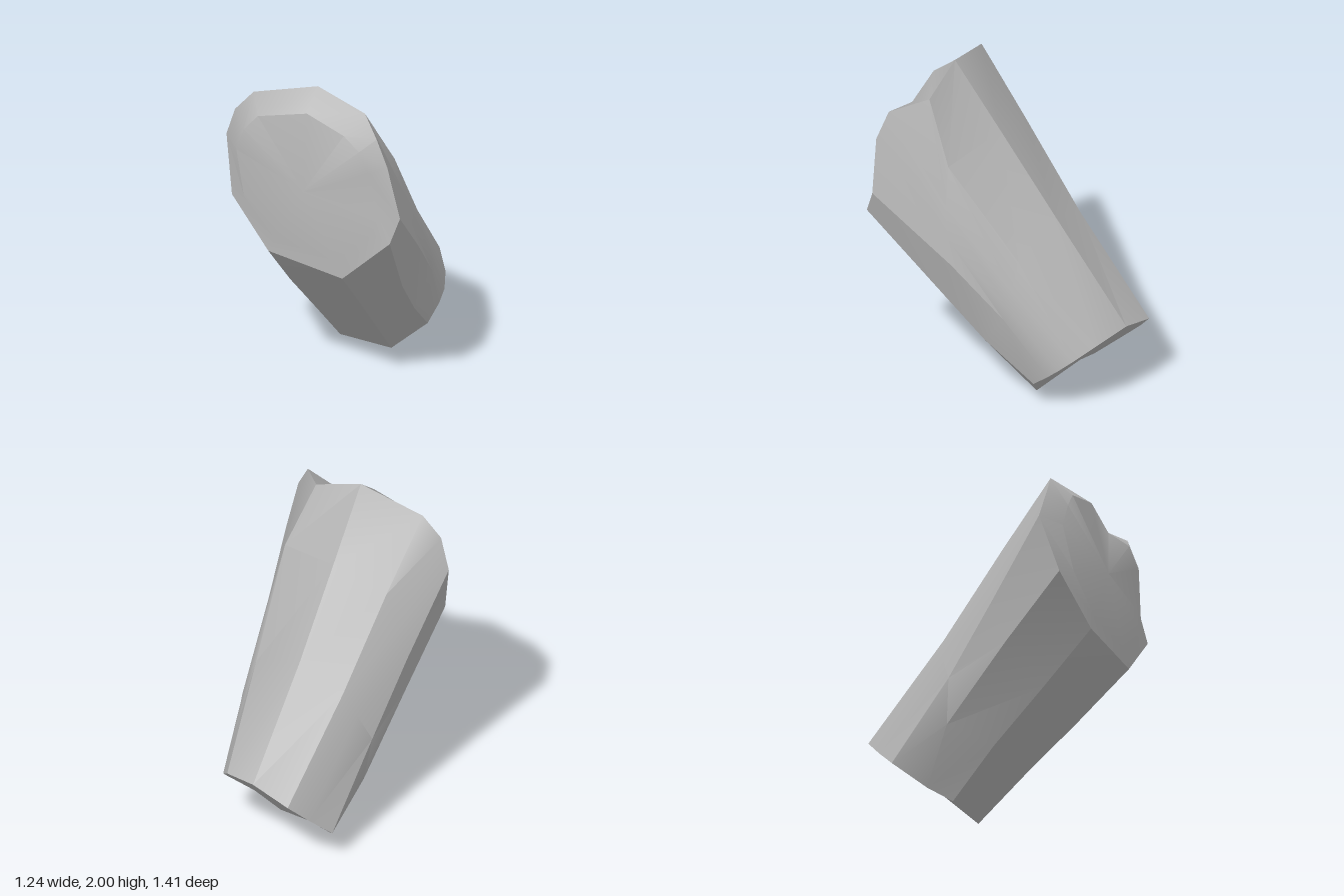
import * as THREE from 'three';
import { mergeVertices, toCreasedNormals } from 'three/addons/utils/BufferGeometryUtils.js';

// Long edges of the faceted block, clockwise from the top, each from the front face to the rear end
const rails = [
  [[-0.04, 2.0, 0.46], [-0.06, 1.6, 0.15], [-0.08, 1.12, -0.22], [-0.09, 0.52, -0.71]],
  [[0.27, 1.89, 0.44], [0.36, 1.53, 0.25], [0.265, 0.97, -0.18], [0.14, 0.48, -0.65]],
  [[0.45, 1.84, 0.61], [0.42, 1.3, 0.23], [0.34, 0.8, -0.18], [0.24, 0.39, -0.55]],
  [[0.54, 1.69, 0.64], [0.45, 1.1, 0.2], [0.37, 0.7, -0.17], [0.28, 0.32, -0.47]],
  [[0.615, 1.36, 0.62], [0.47, 0.94, 0.16], [0.38, 0.62, -0.15], [0.285, 0.26, -0.4]],
  [[0.58, 1.21, 0.68], [0.42, 0.7, 0.26], [0.35, 0.42, 0], [0.27, 0.17, -0.29]],
  [[0.27, 0.91, 0.705], [0.21, 0.6, 0.4], [0.14, 0.3, 0.1], [0.08, 0, -0.19]],
  [[-0.24, 0.96, 0.7], [-0.265, 0.63, 0.4], [-0.28, 0.3, 0.08], [-0.27, 0, -0.19]],
  [[-0.53, 1.23, 0.63], [-0.51, 0.85, 0.27], [-0.48, 0.4, -0.13], [-0.37, 0.07, -0.31]],
  [[-0.62, 1.57, 0.54], [-0.56, 1.1, 0.2], [-0.52, 0.68, -0.1], [-0.5, 0.21, -0.48]],
  [[-0.55, 1.76, 0.56], [-0.5, 1.3, 0.2], [-0.46, 0.86, -0.17], [-0.42, 0.33, -0.6]],
  [[-0.44, 1.89, 0.53], [-0.41, 1.5, 0.2], [-0.38, 1.0, -0.2], [-0.34, 0.45, -0.71]],
];

function blockGeometry() {
  const n = rails.length;
  const frontCentre = [0, 1.42, 0.7];
  const rearCentre = [0, 1, 2].map((k) => rails.reduce((sum, r) => sum + r[3][k], 0) / n);
  // Each rail gains the face centre, a softly bulged inset ring and the rear centre
  const full = rails.map((r) => {
    const inset = r[0].map((v, k) => THREE.MathUtils.lerp(v, frontCentre[k], k === 2 ? 0.6 : 0.2));
    return [frontCentre, inset, ...r, rearCentre];
  });
  const last = full[0].length - 1;
  const pos = [];
  for (let i = 0; i < n; i++) {
    const a = full[i], b = full[(i + 1) % n];
    for (let s = 0; s < last; s++) {
      if (s > 0) pos.push(...a[s], ...b[s], ...b[s + 1]);
      if (s < last - 1) pos.push(...a[s], ...b[s + 1], ...a[s + 1]);
    }
    // close the rear fan
  }
  const g = new THREE.BufferGeometry();
  g.setAttribute('position', new THREE.Float32BufferAttribute(pos, 3));
  return toCreasedNormals(mergeVertices(g), THREE.MathUtils.degToRad(32));
}

export function createModel() {
  const grey = new THREE.MeshStandardMaterial({ color: 0xb4b4b4 });
  grey.name = 'stone grey';
  const block = new THREE.Mesh(blockGeometry(), grey);
  block.name = 'taperedBlock';
  const model = new THREE.Group();
  model.name = 'leaningBlock';
  model.add(block);
  return model;
}
